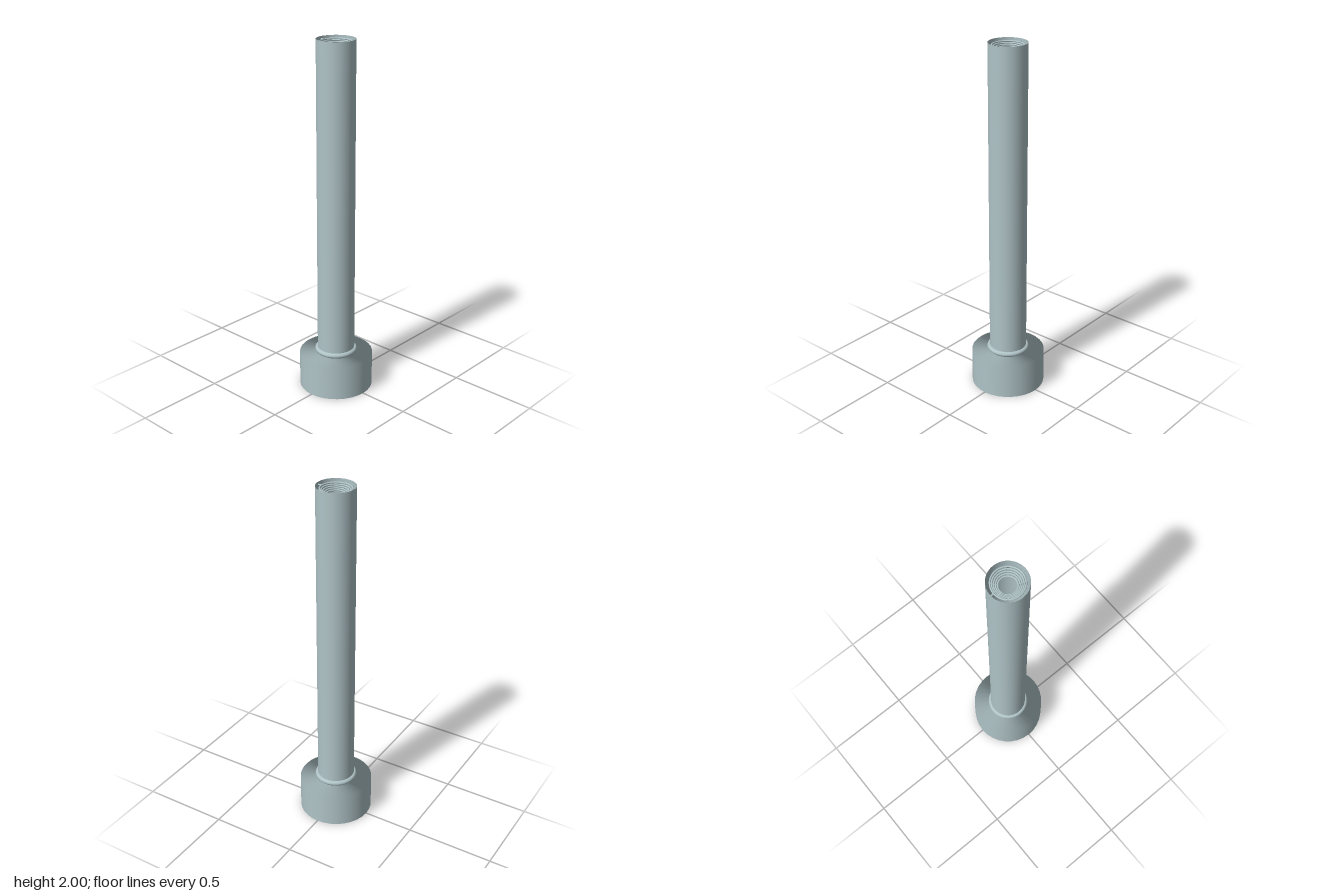
import * as THREE from 'three';

const SEGMENTS = 32;
const TUBE_RADIUS = 0.105;
const BASE_RADIUS = 0.208;
const BASE_HEIGHT = 0.2;
const HEIGHT = 2;

const steel = new THREE.MeshStandardMaterial({ color: 0xb0c4c8, side: THREE.DoubleSide });
steel.name = 'blue grey steel';

function addMesh(parent, name, geometry) {
  const mesh = new THREE.Mesh(geometry, steel);
  mesh.name = name;
  parent.add(mesh);
  return mesh;
}

// Turned part whose shading runs softly over its edges: all normals point out from the axis
function turned(profile) {
  const geometry = new THREE.LatheGeometry(profile.map(([r, y]) => new THREE.Vector2(r, y)), SEGMENTS);
  const { position, normal } = geometry.attributes;
  const v = new THREE.Vector3();
  for (let i = 0; i < position.count; i++) {
    v.fromBufferAttribute(position, i).setY(0).normalize();
    normal.setXYZ(i, v.x, v.y, v.z);
  }
  return geometry;
}

function ring(radius, thickness) {
  return new THREE.TorusGeometry(radius, thickness, 12, 48).rotateX(Math.PI / 2);
}

export function createModel() {
  const model = new THREE.Group();
  model.name = 'tubeOnCollar';

  // Wide collar at the foot, bored through for the tube
  addMesh(model, 'baseCollar', turned([
    [TUBE_RADIUS, 0], [BASE_RADIUS, 0], [BASE_RADIUS, BASE_HEIGHT], [TUBE_RADIUS, BASE_HEIGHT],
  ]));

  // Long thin tube, open at both ends
  addMesh(model, 'tube', turned([[TUBE_RADIUS, 0], [TUBE_RADIUS, HEIGHT]]));

  // Rounded seal around the tube just above the collar
  addMesh(model, 'sealRing', ring(TUBE_RADIUS, 0.015)).position.y = 0.22;

  // Nested rings stepping down inside the mouth
  const mouth = new THREE.Group();
  mouth.name = 'mouthRings';
  mouth.position.y = HEIGHT - 0.015;
  model.add(mouth);
  for (let i = 0; i < 5; i++) {
    addMesh(mouth, 'mouthRing' + (i + 1), ring(0.0835 - i * 0.009, 0.0046)).position.y = -i * 0.007;
  }

  // Two short pins holding the outer ring to the tube wall
  for (const side of [1, -1]) {
    const pin = new THREE.CylinderGeometry(0.004, 0.004, 0.02, 12).rotateX(Math.PI / 2);
    addMesh(mouth, side > 0 ? 'frontPin' : 'backPin', pin).position.z = side * 0.094;
  }

  return model;
}
